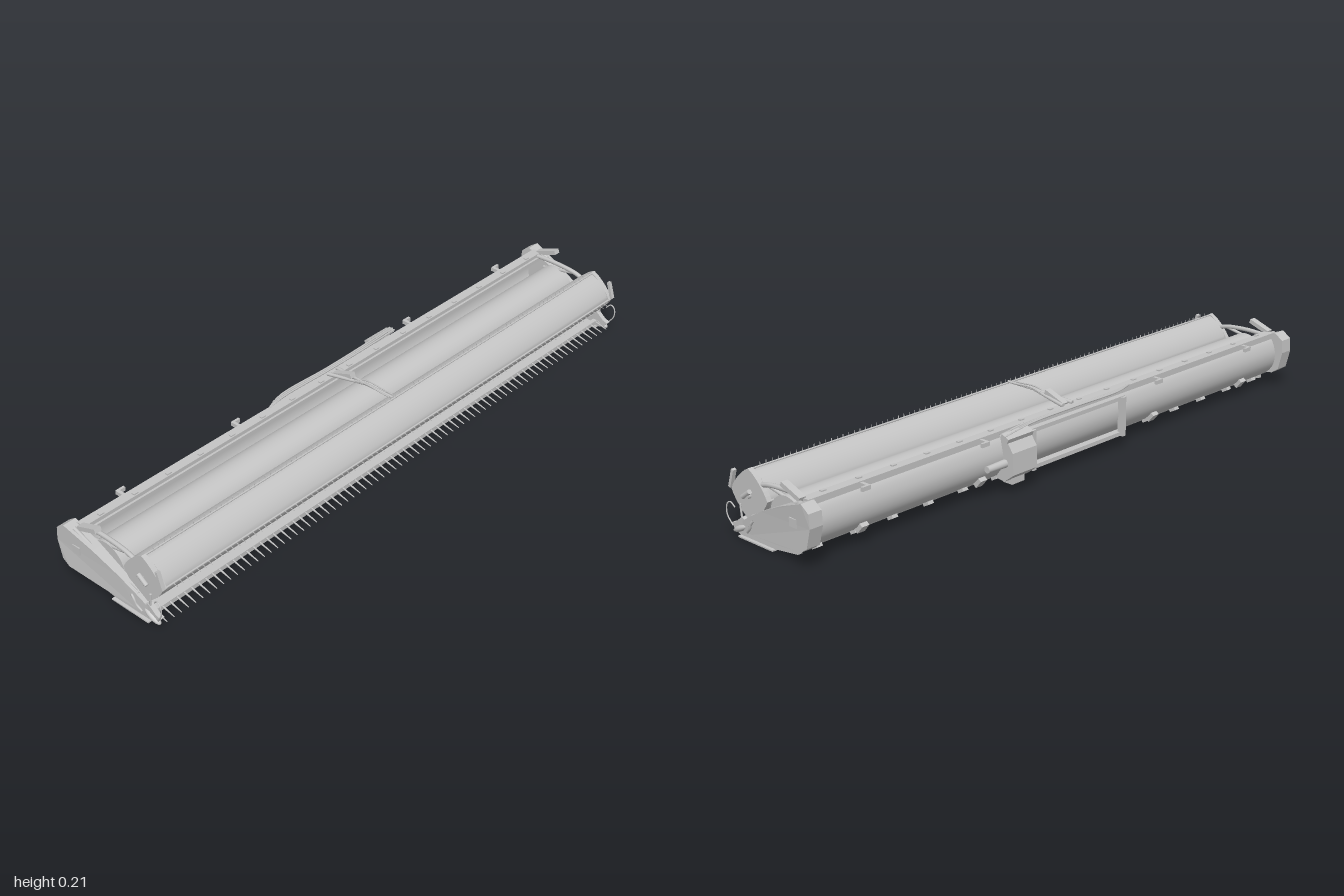
import * as THREE from 'three';
import { mergeGeometries, toCreasedNormals } from 'three/addons/utils/BufferGeometryUtils.js';

const V = (x, y, z) => new THREE.Vector3(x, y, z);

export function createModel() {
  const root = new THREE.Group();
  const steel = new THREE.MeshStandardMaterial({ color: 0xc4c4c4, side: THREE.DoubleSide });
  steel.name = 'greySteel';

  const add = (name, geo, parent = root) => {
    const m = new THREE.Mesh(geo, steel);
    m.name = name;
    parent.add(m);
    return m;
  };
  const box = (x, y, z, w, h, d, rx = 0) =>
    new THREE.BoxGeometry(w, h, d).rotateX(rx).translate(x, y, z);
  // straight rod between two points
  const rod = (a, b, r, r2 = r, n = 8) => {
    const d = b.clone().sub(a);
    const g = new THREE.CylinderGeometry(r2, r, d.length(), n);
    g.applyQuaternion(new THREE.Quaternion().setFromUnitVectors(V(0, 1, 0), d.normalize()));
    return g.translate((a.x + b.x) / 2, (a.y + b.y) / 2, (a.z + b.z) / 2);
  };
  const pipe = (pts, r, n = 8) =>
    new THREE.TubeGeometry(new THREE.CatmullRomCurve3(pts.map(p => V(...p))), 20, r, n);
  // outline of [z, y] points swept from x0 to x1
  const sweep = (pts, x0, x1) => new THREE.ExtrudeGeometry(
    new THREE.Shape(pts.map(p => new THREE.Vector2(...p))), { depth: x1 - x0, bevelEnabled: false })
    .rotateY(-Math.PI / 2).translate(x1, 0, 0);
  // thin bent sheet following a smooth [z, y] profile
  const sheet = (pts, x0, x1, t = 0.004) => {
    const c = new THREE.SplineCurve(pts.map(p => new THREE.Vector2(...p)));
    const outer = [], inner = [];
    for (let i = 0; i <= 28; i++) {
      const p = c.getPointAt(i / 28), d = c.getTangentAt(i / 28);
      outer.push([p.x, p.y]);
      inner.unshift([p.x - d.y * t, p.y + d.x * t]);
    }
    return toCreasedNormals(sweep([...outer, ...inner], x0, x1), 0.6);
  };
  // four-cornered outline with bowed sides
  const diamond = (corner, mid) => Array.from({ length: 32 }, (_, i) => {
    const k = Math.abs((i % 8) - 4) / 4, a = i * Math.PI / 16;
    const r = mid + (corner - mid) * k * k;
    return [r * Math.cos(a), r * Math.sin(a)];
  });

  // Trough: floor curving up into the rounded rear wall, with a smooth drum inside
  add('rearWall', sheet([[-0.128, 0.17], [-0.148, 0.15], [-0.16, 0.11], [-0.15, 0.068],
    [-0.115, 0.035], [-0.06, 0.02], [0.02, 0.012]], -0.965, 0.965));
  add('floor', box(0, 0.011, 0.066, 1.93, 0.006, 0.102));
  add('feedDrum', rod(V(-0.955, 0.09, -0.044), V(0.955, 0.09, -0.044), 0.066, 0.066, 32));
  add('topBeam', box(0, 0.168, -0.13, 1.93, 0.018, 0.03));
  add('beamLip', box(0, 0.16, -0.112, 1.9, 0.012, 0.008));
  add('lowerRearPipe', rod(V(-0.95, 0.026, -0.085), V(0.95, 0.026, -0.085), 0.009, 0.009, 12));
  add('cutterBar', box(0, 0.018, 0.121, 1.93, 0.014, 0.014));

  // Knife guards along the front edge
  const guards = [];
  for (let i = 0; i < 76; i++) {
    const x = -0.95 + i * 1.9 / 75;
    guards.push(rod(V(x, 0.022, 0.12), V(x, 0.01, 0.17), 0.0036, 0.0015, 5));
  }
  add('knifeGuards', mergeGeometries(guards));

  // Under-floor ribs and their mounts
  const ribs = [];
  for (let i = 0; i < 15; i++) {
    const x = -0.91 + i * 0.13;
    if (Math.abs(x) < 0.12) continue;
    ribs.push(rod(V(x, 0.007, 0.12), V(x, 0.009, 0), 0.006));
    ribs.push(rod(V(x, 0.009, 0), V(x, 0.025, -0.09), 0.007));
    ribs.push(box(x, 0.03, -0.1, 0.02, 0.025, 0.022, 0.5));
    ribs.push(box(x, 0.004, 0.06, 0.03, 0.005, 0.05));
  }
  add('floorRibs', mergeGeometries(ribs));
  add('floorRails', mergeGeometries([box(0, 0.007, 0.105, 1.9, 0.009, 0.012),
    box(0, 0.011, 0, 1.9, 0.01, 0.012)]));

  // Reel: rounded drum carrying four tine bars
  const reel = new THREE.Group();
  reel.name = 'reel';
  reel.position.set(0, 0.12, 0.1);
  root.add(reel);
  const R = 0.07;
  add('reelDrum', toCreasedNormals(sweep(diamond(0.069, 0.061), -0.945, 0.945), 1.4), reel);
  const bars = [], tines = [];
  for (let q = 0; q < 4; q++) {
    const a = q * Math.PI / 2, c = Math.cos(a), s = Math.sin(a);
    bars.push(rod(V(-0.945, s * R, c * R), V(0.945, s * R, c * R), 0.003));
    // the rear row hangs down, the others stand outwards
    const tip = q === 2 ? [-0.034, -0.078] : [s * 0.084 - 0.003, c * 0.086];
    for (let i = 0; i < 92; i++) {
      const x = -0.92 + i * 1.84 / 91;
      tines.push(rod(V(x, s * R, c * R), V(x, ...tip), 0.0018, 0.001, 4));
    }
  }
  add('tineBars', mergeGeometries(bars), reel);
  add('reelTines', mergeGeometries(tines), reel);

  // Ends: shield, divider toe, reel plate and reel arm, mirrored
  for (const side of [1, -1]) {
    const end = new THREE.Group();
    end.name = side > 0 ? 'leftEnd' : 'rightEnd';
    end.scale.x = side;
    root.add(end);

    const shield = sweep([[-0.157, 0.18], [-0.185, 0.16], [-0.188, 0.12], [-0.173, 0.063],
      [-0.15, 0.047], [-0.03, 0.03], [0.08, 0.019], [0.125, 0.022], [0.13, 0.04], [0.085, 0.068],
      [0.03, 0.1], [-0.06, 0.143]], 0, 1);
    const p = shield.attributes.position;
    for (let i = 0; i < p.count; i++) {
      const outerX = 0.969 + 0.031 * THREE.MathUtils.clamp((0.13 - p.getZ(i)) / 0.28, 0, 1);
      p.setX(i, THREE.MathUtils.lerp(0.957, outerX, p.getX(i)));
    }
    shield.computeVertexNormals();
    add('endShield', shield, end);
    add('shieldRim', rod(V(0.966, 0.068, 0.085), V(0.982, 0.172, -0.135), 0.003, 0.006), end);
    add('endBracket', box(0.968, 0.187, -0.09, 0.022, 0.013, 0.075, -0.35), end);
    add('serviceLatch', box(0.994, 0.117, -0.118, 0.006, 0.024, 0.028), end);
    add('lowerSheet', sweep([[0.13, 0.003], [0.155, 0.012], [0.168, 0.028], [0.15, 0.034],
      [0.125, 0.055], [0.07, 0.035], [-0.1, 0.035], [-0.1, 0.016], [0, 0.003]], 0.955, 0.97), end);
    add('skidShoe', box(0.965, 0.002, 0.06, 0.03, 0.004, 0.14), end);
    add('dividerToe', new THREE.SphereGeometry(1, 16, 10).scale(0.012, 0.009, 0.032)
      .rotateX(0.45).translate(0.966, 0.02, 0.134), end);
    add('dividerRod', pipe([[0.972, 0.022, 0.16], [0.975, 0.05, 0.178], [0.975, 0.078, 0.177],
      [0.973, 0.088, 0.165], [0.97, 0.075, 0.15]], 0.002, 6), end);
    add('guardPipe', pipe([[0.972, 0.02, 0.1], [0.976, 0.035, 0.085], [0.977, 0.05, 0.078],
      [0.976, 0.062, 0.068]], 0.004, 6), end);

    add('reelEndPlate', sweep(diamond(0.074, 0.06).map(([z, y]) => [z + 0.1, y + 0.12]),
      0.945, 0.96), end);
    add('reelHub', rod(V(0.955, 0.12, 0.1), V(0.968, 0.12, 0.1), 0.01, 0.008, 16), end);
    add('reelDrive', rod(V(0.966, 0.112, 0.12), V(0.966, 0.134, 0.09), 0.007), end);
    add('reelArm', pipe([[0.95, 0.168, -0.13], [0.95, 0.171, -0.05], [0.95, 0.165, 0.03],
      [0.95, 0.155, 0.065]], 0.007), end);
    add('liftCylinder', rod(V(0.95, 0.14, -0.09), V(0.95, 0.163, 0.03), 0.005), end);
    add('frontBracket', box(0.96, 0.15, 0.167, 0.012, 0.055, 0.009, -0.3), end);
    add('sidePost', rod(V(0.966, 0.03, 0.125), V(0.966, 0.09, 0.132), 0.003), end);
  }

  // Centre reel arm, forked towards the rear beam
  add('centreArm', mergeGeometries([
    rod(V(-0.02, 0.18, -0.135), V(0, 0.194, 0), 0.006, 0.004),
    rod(V(0.02, 0.18, -0.135), V(0, 0.194, 0), 0.006, 0.004),
    rod(V(0, 0.194, 0), V(0, 0.194, 0.1), 0.004),
    box(0, 0.188, -0.09, 0.02, 0.014, 0.075, -0.35)]));
  add('centreHoses', mergeGeometries([-0.008, 0.008].map(x => pipe([[x, 0.18, -0.12],
    [x, 0.19, -0.05], [x, 0.2, 0], [x, 0.197, 0.06], [x, 0.196, 0.09]], 0.0022, 6))));

  // Rear coupling frame and gearbox
  add('couplingFrame', mergeGeometries([
    box(0, 0.156, -0.16, 0.42, 0.012, 0.018), box(0, 0.045, -0.155, 0.42, 0.012, 0.022),
    box(-0.2, 0.1, -0.167, 0.014, 0.12, 0.02), box(0.18, 0.1, -0.167, 0.014, 0.12, 0.02)]));
  add('gearbox', sweep([[-0.15, 0.165], [-0.18, 0.15], [-0.198, 0.125], [-0.2, 0.062],
    [-0.165, 0.035], [-0.13, 0.04], [-0.154, 0.07], [-0.162, 0.11]], 0.195, 0.29));
  add('driveShaft', rod(V(0.29, 0.09, -0.168), V(0.36, 0.09, -0.168), 0.012, 0.01, 12));
  add('gearboxFoot', box(0.24, 0.03, -0.153, 0.05, 0.02, 0.035));
  add('underFrame', mergeGeometries([
    box(0, 0.008, 0.005, 0.3, 0.014, 0.014), box(0, 0.02, -0.1, 0.34, 0.014, 0.02),
    ...[-0.15, 0.15].map(x => box(x, 0.015, -0.045, 0.016, 0.014, 0.115, 0.12))]));

  // Hydraulic lines above the rear beam
  add('hydraulicPipes', mergeGeometries([0, 1, 2].map(i =>
    pipe([[-0.26, 0.176, -0.14], [-0.19, 0.178, -0.15 - i * 0.006], [0, 0.178, -0.148 - i * 0.006],
      [0.18, 0.178, -0.15 - i * 0.007], [0.3, 0.172, -0.16 - i * 0.009]], 0.003, 6))));
  add('couplerBlock', box(0.25, 0.166, -0.176, 0.1, 0.014, 0.028, -0.4));

  // Small brackets and bolts along the rear wall
  const brackets = [];
  for (const x of [-0.8, -0.37, 0.36, 0.79]) {
    brackets.push(box(x, 0.168, -0.155, 0.01, 0.012, 0.04), box(x + 0.01, 0.168, -0.172, 0.028, 0.012, 0.008));
    brackets.push(box(x, 0.05, -0.14, 0.025, 0.03, 0.018, -0.7));
  }
  for (let i = 0; i < 16; i++) brackets.push(box(-0.9 + i * 0.12, 0.178, -0.124, 0.016, 0.005, 0.01));
  add('rearBrackets', mergeGeometries(brackets));

  return root;
}
